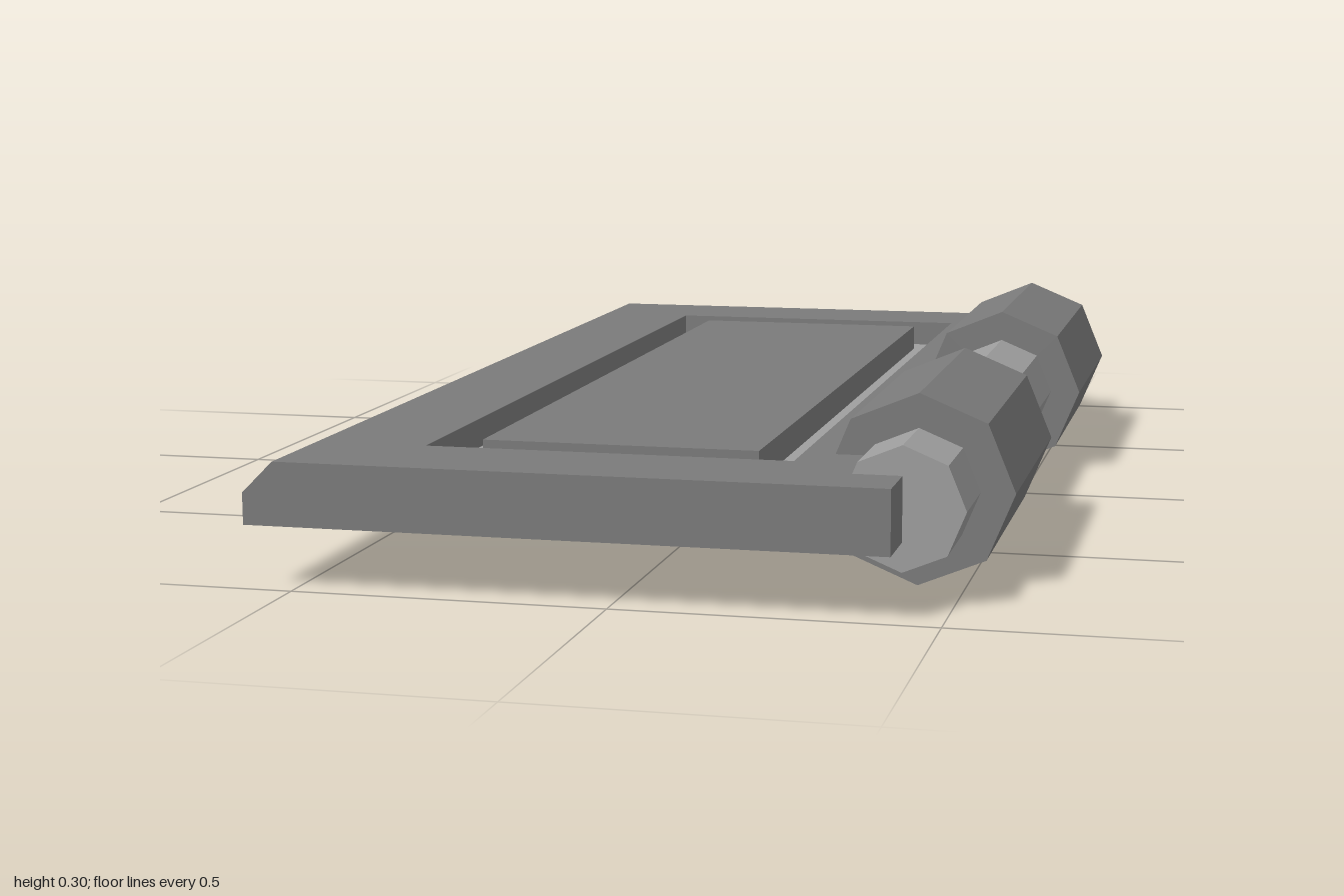
import * as THREE from 'three';

const darkGrey = new THREE.MeshStandardMaterial({ color: 0x7a7a7a, flatShading: true });
const lightGrey = new THREE.MeshStandardMaterial({ color: 0x9e9e9e, flatShading: true });

function addPart(group, name, geometry, material, x, y, z) {
  const mesh = new THREE.Mesh(geometry, material);
  mesh.name = name;
  mesh.position.set(x, y, z);
  group.add(mesh);
}

// Rectangle outline given by its x range and half length
function rectangle(target, x0, x1, half) {
  target.moveTo(x0, -half);
  target.lineTo(x1, -half);
  target.lineTo(x1, half);
  target.lineTo(x0, half);
  target.closePath();
  return target;
}

// Eight-sided bar lying along z
function octagonBar(radius, length) {
  return new THREE.CylinderGeometry(radius, radius, length, 8).rotateX(Math.PI / 2);
}

export function createModel() {
  const model = new THREE.Group();
  model.name = 'hingedPanel';

  const left = -0.575, right = 0.425, hingeX = 0.425, hingeY = 0.15;

  // Lower half of the panel
  addPart(model, 'panelBase', new THREE.BoxGeometry(right - left, 0.05, 2), darkGrey,
    (left + right) / 2, 0.125, 0);

  // Upper frame with a rectangular opening and a chamfer along the free edge
  const outline = rectangle(new THREE.Shape(), left, right, 1);
  outline.holes.push(rectangle(new THREE.Path(), -0.345, 0.245, 0.82));
  const frame = new THREE.ExtrudeGeometry(outline, { depth: 0.05, bevelEnabled: false });
  frame.rotateX(-Math.PI / 2);
  const p = frame.attributes.position;
  for (let i = 0; i < p.count; i++) {
    if (p.getX(i) < left + 0.001 && p.getY(i) > 0.04) p.setX(i, left + 0.05);
  }
  frame.computeVertexNormals();
  addPart(model, 'panelFrame', frame, darkGrey, 0, 0.15, 0);

  // Lighter groove floor, sunk into the base, and the raised centre on it
  addPart(model, 'grooveFloor', new THREE.BoxGeometry(0.59, 0.01, 1.64), lightGrey, -0.05, 0.147, 0);
  addPart(model, 'centrePanel', new THREE.BoxGeometry(0.45, 0.05, 1.5), darkGrey, -0.05, 0.175, 0);

  // Hinge pin and its two knuckles
  addPart(model, 'hingePin', octagonBar(0.096, 1.8), lightGrey, hingeX, hingeY, 0);
  for (const side of [1, -1]) {
    addPart(model, side > 0 ? 'frontKnuckle' : 'backKnuckle',
      octagonBar(0.15, 0.5), darkGrey, hingeX, hingeY, side * 0.5);
  }

  return model;
}
